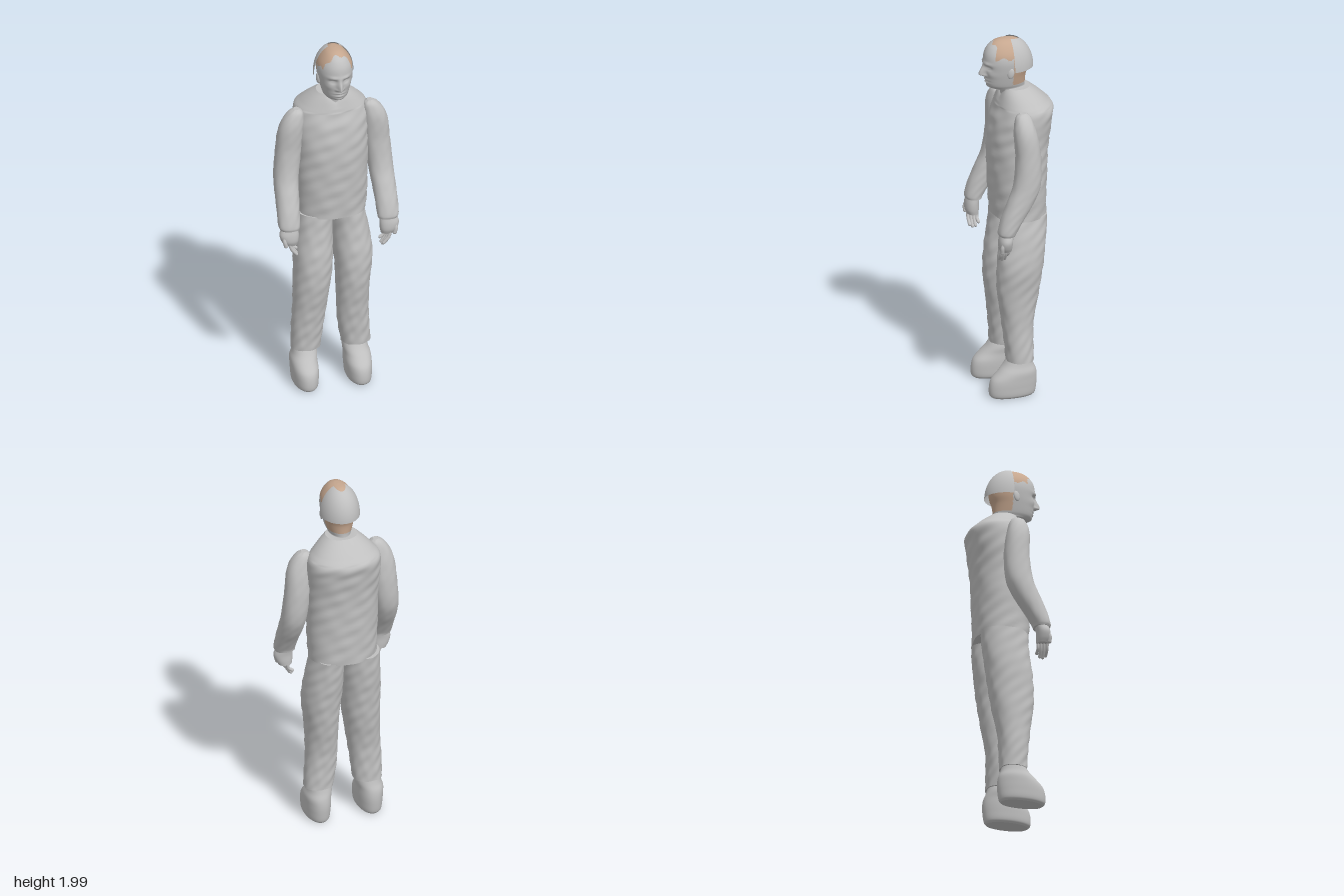
import * as THREE from 'three';

const mat = (name, color, side = THREE.FrontSide) => {
  const m = new THREE.MeshStandardMaterial({ color, side });
  m.name = name;
  return m;
};

// Smooth loft through horizontal sections [y, centreX, halfWidth, frontZ, backZ].
// deform moves a vertex, pick chooses the material index of a face.
function loft(sections, { rows = 40, sides = 40, power = 2.2, deform, pick } = {}) {
  const n = sections.length;
  const a = new THREE.CatmullRomCurve3(sections.map(s => new THREE.Vector3(s[1], s[0], s[2])), false, 'centripetal');
  const b = new THREE.CatmullRomCurve3(sections.map(s => new THREE.Vector3(s[3], s[0], s[4])), false, 'centripetal');
  const pos = [], lists = [[], []], v = new THREE.Vector3();
  const sp = t => Math.sign(t) * Math.pow(Math.abs(t), 2 / power);
  for (let i = 0; i <= rows; i++) {
    const p = a.getPoint(i / rows), q = b.getPoint(i / rows);
    for (let j = 0; j < sides; j++) {
      const t = j / sides * Math.PI * 2;
      v.set(p.x + Math.max(p.z, 0.001) * sp(Math.cos(t)), p.y, (q.x + q.z) / 2 + (q.x - q.z) / 2 * sp(Math.sin(t)));
      if (deform) deform(v, i / rows, t);
      pos.push(v.x, v.y, v.z);
    }
  }
  const face = (...f) => {
    const c = [0, 1, 2].map(k => (pos[f[0] * 3 + k] + pos[f[1] * 3 + k] + pos[f[2] * 3 + k]) / 3);
    lists[pick ? pick(...c) : 0].push(...f);
  };
  for (let i = 0; i < rows; i++) for (let j = 0; j < sides; j++) {
    const k = (j + 1) % sides, r = i * sides, s = r + sides;
    face(r + j, s + j, r + k);
    face(r + k, s + j, s + k);
  }
  // End caps use their own vertices to keep the rim sharp
  for (const [row, sec, top] of [[0, sections[0], false], [rows, sections[n - 1], true]]) {
    const base = pos.length / 3;
    pos.push(sec[1], sec[0], (sec[3] + sec[4]) / 2);
    for (let j = 0; j < sides; j++) {
      const o = (row * sides + j) * 3;
      pos.push(pos[o], pos[o + 1], pos[o + 2]);
    }
    for (let j = 0; j < sides; j++) {
      const p = base + 1 + j, q = base + 1 + (j + 1) % sides;
      top ? face(base, q, p) : face(base, p, q);
    }
  }
  const g = new THREE.BufferGeometry();
  g.setAttribute('position', new THREE.Float32BufferAttribute(pos, 3));
  g.setIndex([...lists[0], ...lists[1]]);
  g.addGroup(0, lists[0].length, 0);
  g.addGroup(lists[0].length, lists[1].length, 1);
  g.computeVertexNormals();
  return g;
}

const bump = (x, y, cx, cy, sx, sy) => Math.exp(-(((x - cx) / sx) ** 2) - ((y - cy) / sy) ** 2);

// Gentle cloth wrinkles
const cloth = amp => (v, u, t) => {
  const w = Math.sin(v.y * 47 + 3 * Math.sin(t * 2)) * Math.sin(t * 5 + v.y * 19) + 0.6 * Math.sin(v.y * 83 + t * 7);
  v.x += Math.cos(t) * w * amp;
  v.z += Math.sin(t) * w * amp;
};

// Facial relief pushed along z
function sculptFace(v) {
  if (v.z < 0.06 || v.y < 1.7) return;
  const x = Math.abs(v.x), y = v.y;
  const noseLow = y < 1.803 ? 0.011 : 0.045;
  v.z += 0.036 * bump(x, y, 0, 1.803, 0.013, noseLow)
    + 0.008 * bump(x, y, 0.016, 1.798, 0.008, 0.008)
    + 0.007 * bump(x, y, 0.034, 1.868, 0.026, 0.01)
    - 0.014 * bump(x, y, 0.036, 1.846, 0.017, 0.011)
    + 0.007 * bump(x, y, 0.036, 1.844, 0.011, 0.005)
    + 0.007 * bump(x, y, 0, 1.773, 0.024, 0.006)
    + 0.007 * bump(x, y, 0, 1.757, 0.022, 0.006)
    - 0.006 * bump(x, y, 0, 1.765, 0.03, 0.003)
    + 0.008 * bump(x, y, 0, 1.731, 0.022, 0.011)
    + 0.004 * bump(x, y, 0.052, 1.81, 0.02, 0.018);
}

// Back half of the hair as a quarter ellipsoid with an arched notch on top
function hairShell() {
  const A = 0.108, B = 0.17, C = 0.132, Y = 1.83, Z = 0.03, rows = 32, cols = 24;
  const pos = [], nor = [], idx = [];
  for (const side of [1, -1]) {
    const base = pos.length / 3;
    for (let i = 0; i <= rows; i++) {
      const d = Math.sin(i / rows * Math.PI / 2) * C, s = Math.sqrt(Math.max(0, 1 - (d / C) ** 2));
      const w = d < 0.055 ? 0.031 * Math.sqrt(1 - (d / 0.055) ** 2) : 0;
      const end = s > 0.01 ? Math.acos(Math.min(1, w / (A * s))) : Math.PI / 2;
      for (let j = 0; j <= cols; j++) {
        const t = j / cols * end, x = side * A * s * Math.cos(t), y = B * s * Math.sin(t);
        pos.push(x, Y + y, Z - d);
        const m = new THREE.Vector3(x / A ** 2, y / B ** 2, -d / C ** 2).normalize();
        nor.push(m.x, m.y, m.z);
        if (i < rows && j < cols) {
          const p = base + i * (cols + 1) + j, q = p + 1, r = p + cols + 1;
          side > 0 ? idx.push(p, r, q, q, r, r + 1) : idx.push(p, q, r, q, r + 1, r);
        }
      }
    }
  }
  const g = new THREE.BufferGeometry();
  g.setAttribute('position', new THREE.Float32BufferAttribute(pos, 3));
  g.setAttribute('normal', new THREE.Float32BufferAttribute(nor, 3));
  g.setIndex(idx);
  return g;
}

export function createModel() {
  const model = new THREE.Group();
  const grey = mat('grey', 0xc0c0c0), shell = mat('hair grey', 0xc0c0c0, THREE.DoubleSide), tan = mat('tan', 0xc6a78f);
  const add = (name, geo, m = grey, parent = model) => {
    const mesh = new THREE.Mesh(geo, m);
    mesh.name = name;
    parent.add(mesh);
    return mesh;
  };

  // Jacket with a collar that dips at the front
  const wrinkle = cloth(0.0022);
  add('jacket', loft([
    [1.0, 0, 0.182, 0.125, -0.16], [1.2, 0, 0.19, 0.135, -0.165], [1.4, 0, 0.193, 0.138, -0.175],
    [1.54, 0, 0.2, 0.12, -0.193], [1.61, 0, 0.192, 0.1, -0.2], [1.65, 0, 0.16, 0.09, -0.165],
    [1.69, 0, 0.12, 0.08, -0.12], [1.72, 0, 0.085, 0.07, -0.08]],
  { rows: 70, sides: 72, deform: (v, u, t) => {
    if (v.y < 1.62) wrinkle(v, u, t);
    if (v.z > 0 && v.y > 1.64) v.y -= 0.04 * (v.y - 1.64) / 0.08 * Math.max(0, 1 - Math.abs(v.x) / 0.05);
  } }));

  // Head: tan scalp and nape, grey face
  add('head', loft([
    [1.65, 0, 0.058, 0.07, -0.06], [1.715, 0, 0.06, 0.085, -0.058], [1.722, 0, 0.058, 0.13, -0.057],
    [1.74, 0, 0.066, 0.15, -0.057], [1.79, 0, 0.08, 0.16, -0.062], [1.83, 0, 0.089, 0.164, -0.075],
    [1.88, 0, 0.094, 0.168, -0.08], [1.92, 0, 0.087, 0.163, -0.073], [1.955, 0, 0.068, 0.145, -0.053],
    [1.98, 0, 0.045, 0.115, -0.022], [1.991, 0, 0.022, 0.085, 0.005], [1.994, 0, 0.003, 0.05, 0.044]],
  { rows: 110, sides: 96, power: 2.1, deform: sculptFace, pick: (x, y, z) =>
    (z < 0.03 && y > 1.745) || (y > 1.905 + 0.008 * Math.sin(z * 90) && z < 0.118 + 0.008 * Math.sin(x * 110)) ? 1 : 0 }),
  [grey, tan]);
  add('hair', hairShell(), shell);

  // Trousers and shoes
  const legs = {
    right: [
      [[0.2, -0.15, 0.078, 0.082, -0.062], [0.3, -0.142, 0.083, 0.09, -0.062], [0.42, -0.132, 0.088, 0.103, -0.068],
        [0.6, -0.115, 0.098, 0.128, -0.1], [0.75, -0.107, 0.103, 0.127, -0.12], [0.88, -0.103, 0.102, 0.11, -0.138],
        [1.01, -0.097, 0.097, 0.1, -0.15]],
      [-0.165, -0.158]],
    left: [
      [[0.2, 0.122, 0.078, 0.082, -0.062], [0.3, 0.112, 0.083, 0.09, -0.062], [0.42, 0.104, 0.084, 0.103, -0.068],
        [0.6, 0.107, 0.09, 0.128, -0.1], [0.75, 0.109, 0.102, 0.127, -0.12], [0.88, 0.098, 0.097, 0.11, -0.138],
        [1.01, 0.086, 0.083, 0.1, -0.15]],
      [0.124, 0.117]]
  };
  for (const [side, [leg, [sole, ankle]]] of Object.entries(legs)) {
    add(side + 'Trouser', loft(leg, { rows: 60, sides: 48, deform: cloth(0.0018) }));
    add(side + 'Shoe', loft([
      [0, sole, 0.052, 0.165, -0.06], [0.012, sole, 0.063, 0.178, -0.07], [0.06, sole, 0.069, 0.18, -0.078],
      [0.1, sole, 0.071, 0.168, -0.08], [0.14, sole, 0.07, 0.13, -0.075], [0.175, ankle, 0.066, 0.098, -0.062],
      [0.22, ankle, 0.058, 0.07, -0.05]], { rows: 28, sides: 40 }));
  }

  // Arms and hands, built for +x and repeated for -x
  const sleeve = [
    [0.985, 0.266, 0.053, 0.176, 0.09], [1.0, 0.268, 0.057, 0.18, 0.085], [1.08, 0.266, 0.06, 0.158, 0.035],
    [1.16, 0.262, 0.063, 0.125, -0.018], [1.25, 0.256, 0.066, 0.09, -0.055], [1.4, 0.24, 0.069, 0.072, -0.062],
    [1.52, 0.229, 0.066, 0.076, -0.048], [1.58, 0.217, 0.055, 0.07, -0.033], [1.62, 0.204, 0.037, 0.056, -0.018],
    [1.637, 0.2, 0.015, 0.035, 0.0]];
  const palm = [
    [0.895, 0.263, 0.036, 0.168, 0.108], [0.92, 0.268, 0.046, 0.178, 0.106], [0.955, 0.272, 0.052, 0.178, 0.105],
    [0.99, 0.268, 0.045, 0.17, 0.1]];
  const shift = (list, s) => list.map(([y, x, ...r]) => [y, x * s, ...r]);
  for (const s of [1, -1]) {
    const arm = new THREE.Group();
    arm.name = s > 0 ? 'leftArm' : 'rightArm';
    model.add(arm);
    add('sleeve', loft(shift(sleeve, s), { rows: 50, sides: 40, deform: cloth(0.0008) }), grey, arm);
    add('palm', loft(shift(palm, s), { rows: 16, sides: 28 }), grey, arm);
    const digit = (name, r, ...pts) => {
      const v = pts.map(p => new THREE.Vector3(p[0] * s, p[1], p[2]));
      add(name, new THREE.TubeGeometry(new THREE.CatmullRomCurve3(v), 10, r, 10), grey, arm);
      for (const p of [v[0], v[v.length - 1]]) add(name + 'End', new THREE.SphereGeometry(r, 12, 8).translate(p.x, p.y, p.z), grey, arm);
    };
    for (let i = 0; i < 4; i++) {
      const z = 0.116 + i * 0.015, low = [0.855, 0.836, 0.832, 0.842][i];
      digit('finger', 0.009, [0.258 + i * 0.006, 0.91, z], [0.25 + i * 0.004, 0.872, z + 0.003], [0.228 + i * 0.003, low, z + 0.002]);
    }
    digit('thumb', 0.011, [0.3, 0.95, 0.158], [0.302, 0.925, 0.168], [0.296, 0.9, 0.168]);

    // Ear
    const ear = add(s > 0 ? 'leftEar' : 'rightEar', new THREE.SphereGeometry(1, 20, 14));
    ear.scale.set(0.009, 0.03, 0.018);
    ear.position.set(s * 0.089, 1.822, 0.048);
    ear.rotation.set(-0.15, s * -0.3, 0);
  }
  return model;
}
